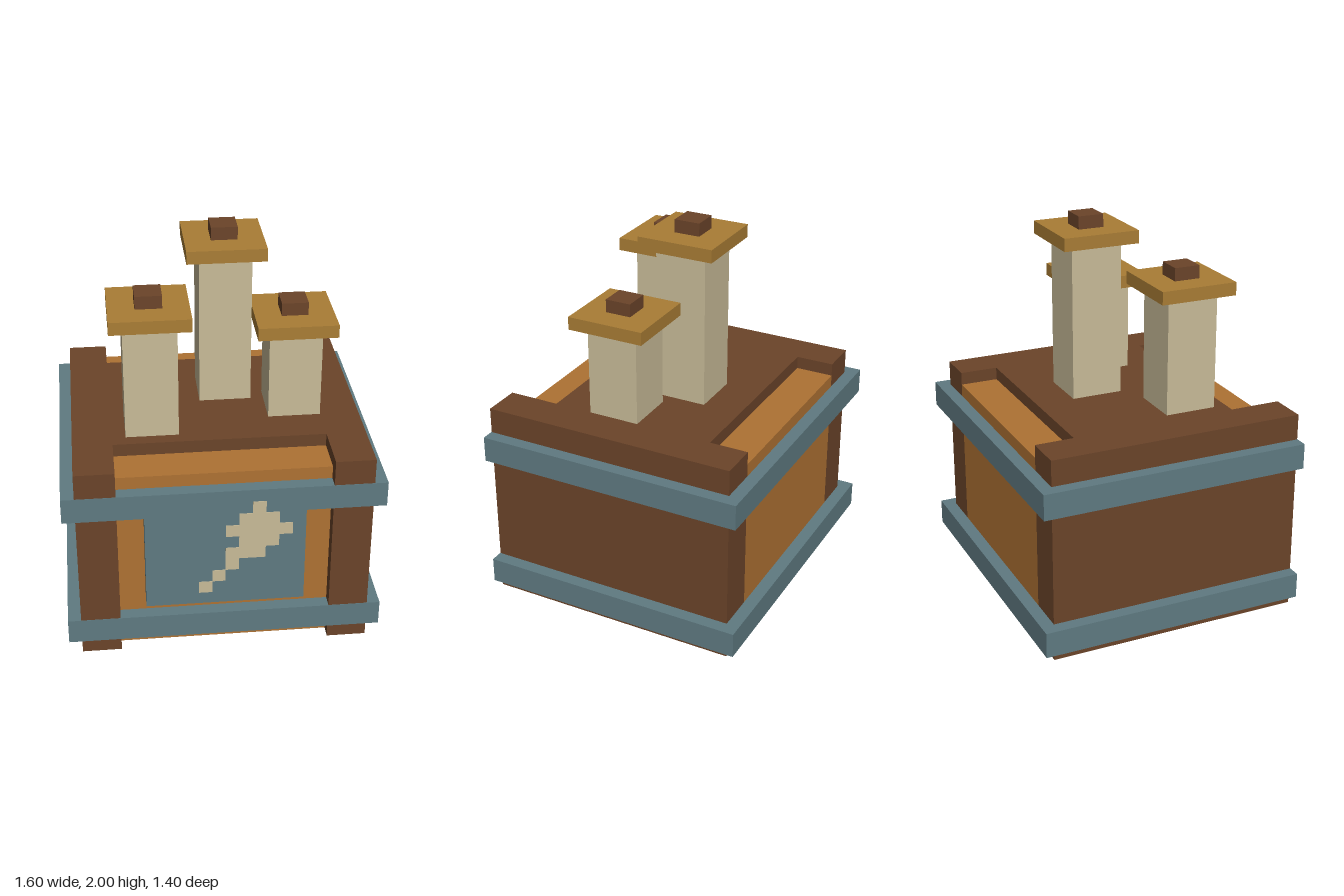
import * as THREE from 'three';

const U = 1 / 15; // one block unit

const paint = (color) => {
  const m = new THREE.MeshStandardMaterial();
  m.color.set(color);
  return m;
};

// Box given by its [min, max] range on each axis, in block units
function block(parent, name, material, [x0, x1], [y0, y1], [z0, z1]) {
  const geometry = new THREE.BoxGeometry((x1 - x0) * U, (y1 - y0) * U, (z1 - z0) * U);
  const mesh = new THREE.Mesh(geometry, material);
  mesh.position.set((x0 + x1) / 2 * U, (y0 + y1) / 2 * U, (z0 + z1) / 2 * U);
  mesh.name = name;
  parent.add(mesh);
  return mesh;
}

export function createModel() {
  const model = new THREE.Group();
  model.name = 'chest';
  const darkWood = paint(0x6b4429);
  const lightWood = paint(0xae7233);
  const teal = paint(0x5f7a81);
  const gold = paint(0xa97d35);
  const cream = paint(0xc8bb98);

  // Wooden body with a raised lid between the two side slabs
  block(model, 'core', lightWood, [-8, 8], [0, 15], [-9.5, 9.5]);
  block(model, 'lid', darkWood, [-8, 8], [15, 16], [-6.5, 6.5]);
  block(model, 'leftSide', darkWood, [8, 11], [0, 16], [-9.5, 10.5]);
  block(model, 'rightSide', darkWood, [-11, -8], [0, 16], [-9.5, 10.5]);

  // Bands around the body, a hair proud of the side slabs at the front
  const front = 10.53;
  block(model, 'lowerBand', teal, [-12, 12], [1, 3], [-10.5, front]);
  block(model, 'upperBand', teal, [-12, 12], [12, 14], [-10.5, front]);
  block(model, 'frontPanel', teal, [-6, 6], [4, 12], [9.5, front]);

  // Stepped inlay on the panel: one [xMin, xMax] strip per row, bottom up
  const inlay = new THREE.Group();
  inlay.name = 'panelInlay';
  model.add(inlay);
  const rows = [[-2, -1], [-1, 0], [0, 1], [0, 3], [1, 4], [0, 5], [1, 4], [2, 3]];
  rows.forEach((range, i) =>
    block(inlay, 'inlayRow', cream, range, [5 + i, 6 + i], [front - 0.2, front + 0.04]));

  // Square pillars with cap and knob: centre x, centre z, top of the shaft
  for (const [x, z, top] of [[1, -1.5, 28], [-5, 3.5, 25], [6, 1.5, 23]]) {
    const pillar = new THREE.Group();
    pillar.name = 'pillar';
    model.add(pillar);
    const part = (name, material, half, y0, y1) =>
      block(pillar, name, material, [x - half, x + half], [y0, y1], [z - half, z + half]);
    part('shaft', cream, 2, 16, top);
    part('cap', gold, 3, top, top + 1);
    part('knob', darkWood, 1, top + 1, top + 2);
  }
  return model;
}
